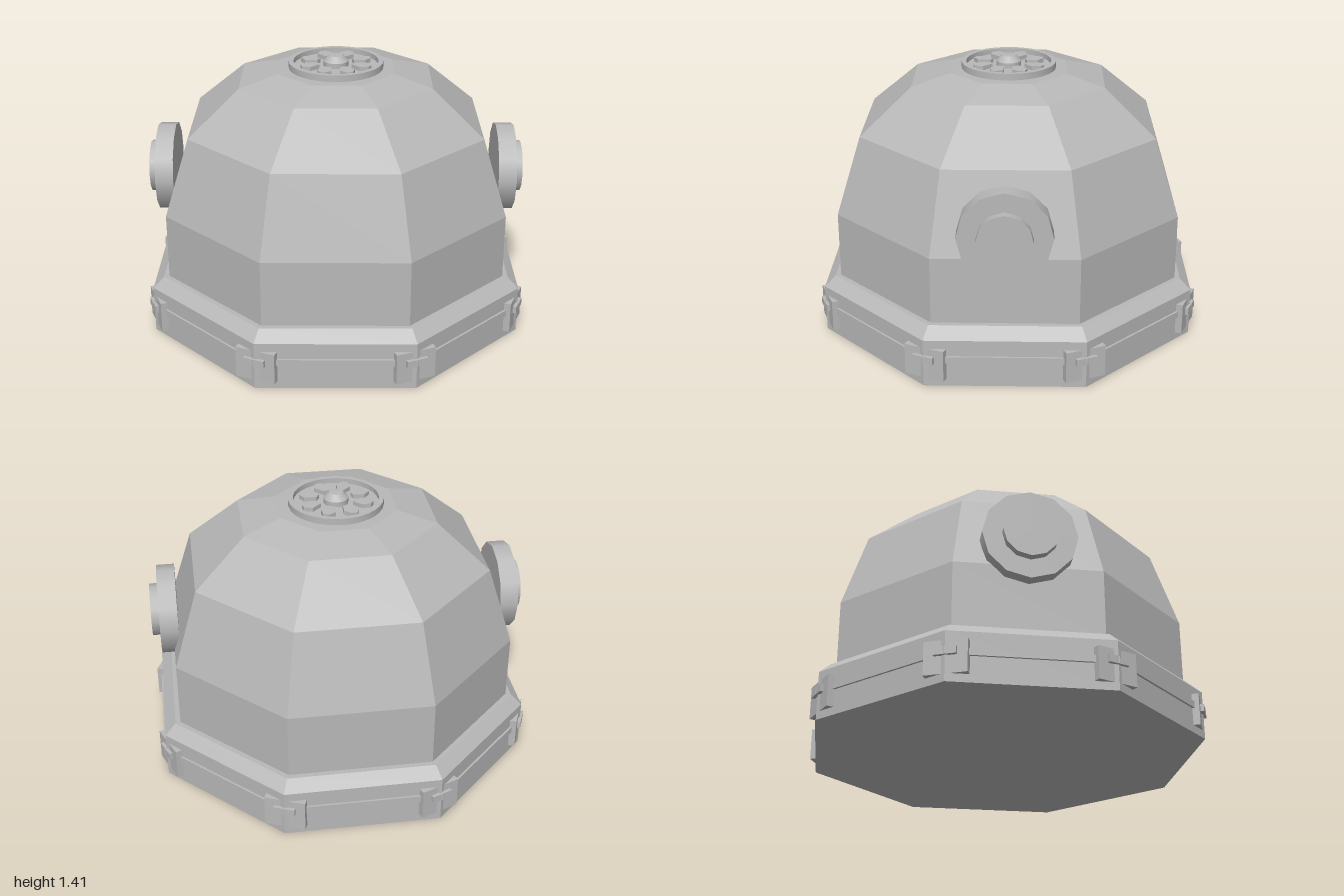
import * as THREE from 'three';
import { toCreasedNormals } from 'three/addons/utils/BufferGeometryUtils.js';

const metal = new THREE.MeshStandardMaterial({ color: 0xb8b8b8 });
metal.name = 'grey metal';

function add(parent, name, geometry) {
  const mesh = new THREE.Mesh(geometry, metal);
  mesh.name = name;
  parent.add(mesh);
  return mesh;
}

// Faceted eight-sided shell; profile is [distance to flat side, height]
function octagon(profile) {
  const k = 1 / Math.cos(Math.PI / 8);
  const points = profile.map(([r, y]) => new THREE.Vector2(r * k, y));
  return toCreasedNormals(new THREE.LatheGeometry(points, 8, Math.PI / 8), 0.1);
}

function round(profile, segments) {
  const points = profile.map(([r, y]) => new THREE.Vector2(r, y));
  return toCreasedNormals(new THREE.LatheGeometry(points, segments), 0.4);
}

export function createModel() {
  const model = new THREE.Group();
  model.name = 'domeShelter';

  // Base with bevelled top and a thin rail around it
  add(model, 'base', octagon([[0, 0], [0.963, 0], [0.963, 0.25], [0.907, 0.305], [0.85, 0.305]]));
  add(model, 'baseRail', octagon([[0.95, 0.13], [0.974, 0.13], [0.974, 0.166], [0.95, 0.166]]));

  // Dome shell
  add(model, 'dome', octagon([[0.88, 0.3], [0.88, 0.65], [0.755, 1.06], [0.495, 1.295], [0.3, 1.345], [0, 1.347]]));

  // Clamps across the eight base corners
  for (let i = 0; i < 8; i++) {
    const clamp = new THREE.Group();
    clamp.name = 'cornerClamp';
    clamp.rotation.y = Math.PI / 8 + i * Math.PI / 4;
    add(clamp, 'clampPlate', new THREE.BoxGeometry(0.21, 0.165, 0.08)).position.set(0, 0.123, 0.994);
    add(clamp, 'clampLatch', new THREE.BoxGeometry(0.11, 0.038, 0.06)).position.set(0, 0.148, 1.022);
    model.add(clamp);
  }

  // Round side ports, left and right
  for (const side of [1, -1]) {
    const port = new THREE.Group();
    port.name = side > 0 ? 'leftPort' : 'rightPort';
    const rim = add(port, 'portRim', new THREE.CylinderGeometry(0.233, 0.233, 0.095, 12));
    const cap = add(port, 'portCap', new THREE.CylinderGeometry(0.137, 0.137, 0.06, 12));
    rim.position.set(side * 0.899, 0.788, 0);
    cap.position.set(side * 0.959, 0.788, 0);
    rim.rotation.z = cap.rotation.z = -side * Math.PI / 2;
    model.add(port);
  }

  // Roof vent: recessed ring, hub and eight petals
  const vent = new THREE.Group();
  vent.name = 'roofVent';
  add(vent, 'ventRing', round([[0.247, 1.335], [0.247, 1.38], [0.222, 1.38], [0.222, 1.353], [0, 1.353]], 32));
  add(vent, 'ventHub', round([[0.065, 1.35], [0.065, 1.38], [0.037, 1.41], [0, 1.413]], 16));
  const petal = new THREE.Shape([
    [0.095, -0.016], [0.148, -0.04], [0.19, -0.018], [0.195, 0.012], [0.158, 0.04], [0.098, 0.016],
  ].map(([x, y]) => new THREE.Vector2(x, y)));
  const petalGeometry = new THREE.ExtrudeGeometry(petal, { depth: 0.025, bevelEnabled: false });
  petalGeometry.rotateX(-Math.PI / 2);
  for (let i = 0; i < 8; i++) {
    const mesh = add(vent, 'ventPetal', petalGeometry);
    mesh.position.y = 1.35;
    mesh.rotation.y = Math.PI / 8 + i * Math.PI / 4;
  }
  model.add(vent);

  return model;
}
